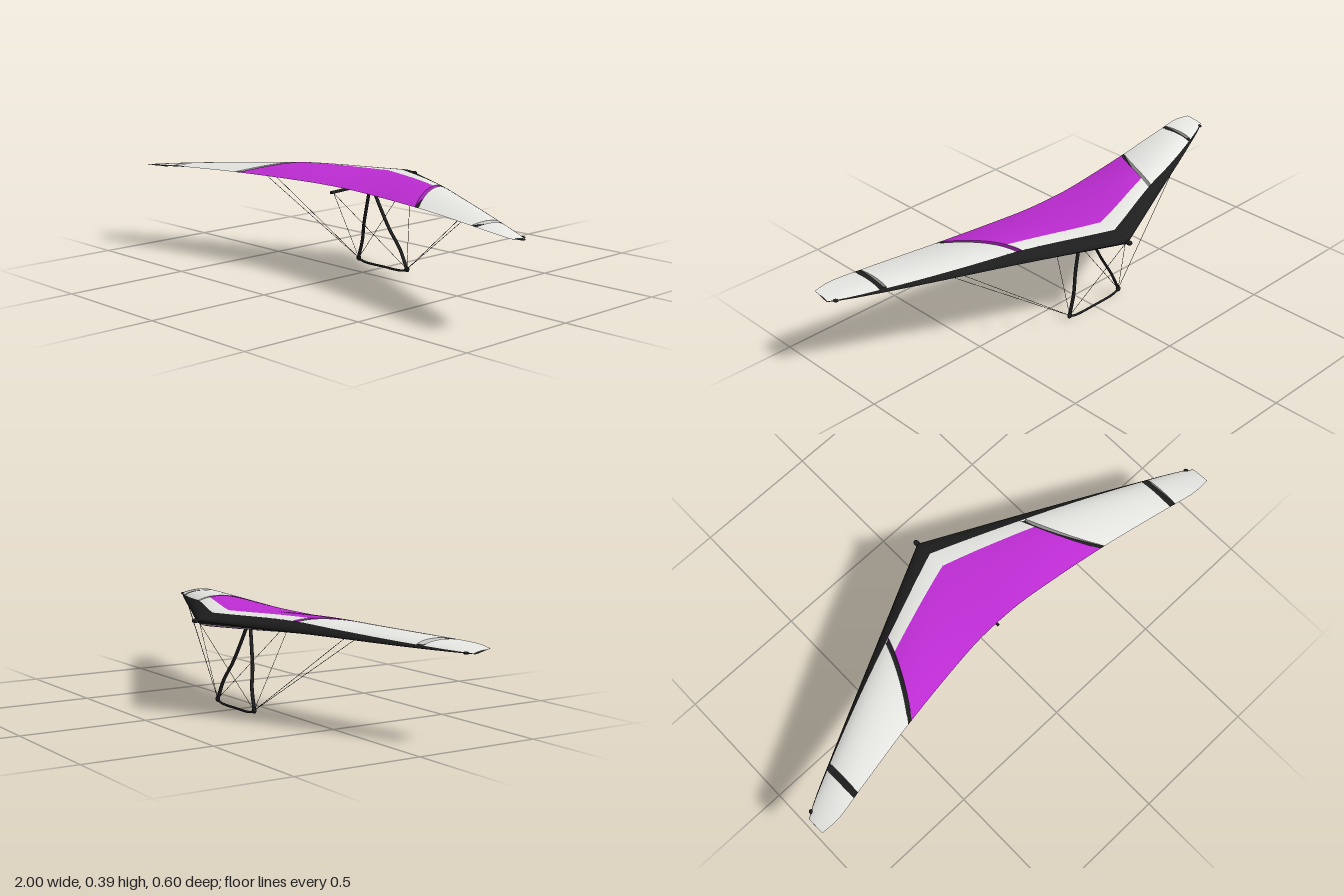
import * as THREE from 'three';

const mat = (name, color) => {
  const m = new THREE.MeshStandardMaterial({ color, side: THREE.DoubleSide });
  m.name = name;
  return m;
};

// Smooth curve through a few (span, value) samples
function curve(xs, ys) {
  const c = new THREE.CubicInterpolant(xs, ys, 1);
  return x => c.evaluate(Math.min(1, Math.max(0, x)))[0];
}

// Wing shape along the half span: edge positions, heights and camber
const leadZ = curve([0, 0.35, 0.8, 0.96, 1], [-0.28, -0.108, 0.113, 0.196, 0.222]);
const trailZ = curve([0, 0.1, 0.25, 0.5, 0.8, 0.93, 1], [0.159, 0.162, 0.179, 0.217, 0.275, 0.299, 0.296]);
const leadY = curve([0, 0.35, 0.8, 1], [0.357, 0.347, 0.331, 0.326]);
const trailY = curve([0, 0.5, 0.8, 0.94, 1], [0.362, 0.359, 0.352, 0.346, 0.339]);
const rise = curve([0, 0.35, 0.5, 0.8, 1], [0.028, 0.039, 0.033, 0.018, 0.003]);
const sag = curve([0, 0.2, 0.4, 0.8, 1], [0.029, 0.02, 0.009, 0.006, 0.003]);

// Point on the sail; level 1 is the upper skin, 0 the lower skin
function sailPoint(x, t, level) {
  const base = THREE.MathUtils.lerp(leadY(x), trailY(x), t);
  const upper = rise(x) * 2.598 * Math.sqrt(t) * (1 - t);
  const lower = -sag(x) * 6.53 * t ** 0.75 * (1 - t) ** 3;
  return [x, base + THREE.MathUtils.lerp(lower, upper, level), THREE.MathUtils.lerp(leadZ(x), trailZ(x), t)];
}

// Panel borders: x as a function of chord fraction, chord fraction as a function of x
const at = v => () => v;
const seam = t => 0.33 + 0.16 * t ** 1.3;
const seamOuter = t => seam(t) + 0.02;
const bandTop = curve([0, 0.35, 0.5, 0.8, 1], [0.16, 0.13, 0.1, 0.05, 0.03]);
const bandUnder = x => bandTop(x) * 0.2;
const panelFront = x => 0.32 - 0.06 * x;
const underFront = x => 0.055 + 0.06 * x;

// Skin levels: the stripes lie in deep grooves between the panels
const upperSkin = at(1), lowerSkin = at(0);
const groove = t => 1 - 0.65 * THREE.MathUtils.smoothstep(t, 0.05, 0.2);

// One sail panel between two span borders, two chord borders and two levels
function panel(s, la, lb, xa, xb, ta, tb, nu = 24, nv = 20) {
  const pos = [], idx = [];
  for (let j = 0; j <= nv; j++) {
    for (let i = 0; i <= nu; i++) {
      const u = i / nu, v = j / nv;
      let t = v, x = 0;
      for (let k = 0; k < 6; k++) {
        x = THREE.MathUtils.lerp(xa(t), xb(t), u);
        t = THREE.MathUtils.lerp(ta(x), tb(x), v);
      }
      const p = sailPoint(x, t, THREE.MathUtils.lerp(la(t), lb(t), u));
      pos.push(s * p[0], p[1], p[2]);
    }
  }
  const flip = (s > 0) === (la === lowerSkin);
  for (let j = 0; j < nv; j++) {
    for (let i = 0; i < nu; i++) {
      const a = j * (nu + 1) + i, b = a + 1, c = a + nu + 1, d = c + 1;
      if (flip) idx.push(a, b, c, b, d, c);
      else idx.push(a, c, b, b, c, d);
    }
  }
  const g = new THREE.BufferGeometry();
  g.setAttribute('position', new THREE.Float32BufferAttribute(pos, 3));
  g.setIndex(idx);
  g.computeVertexNormals();
  return g;
}

export function createModel() {
  const root = new THREE.Group();
  root.name = 'hangGlider';
  const white = mat('sailWhite', 0xf0f0ec);
  const purple = mat('sailPurple', 0xbe2cd4);
  const black = mat('black', 0x1e1e1e);

  const add = (name, geo, material, parent = root) => {
    const m = new THREE.Mesh(geo, material);
    m.name = name;
    parent.add(m);
    return m;
  };
  const V = (x, y, z) => new THREE.Vector3(x, y, z);
  const rod = (name, a, b, r, sides, parent) => {
    const m = add(name, new THREE.CylinderGeometry(r, r, a.distanceTo(b), sides), black, parent);
    m.position.copy(a).lerp(b, 0.5);
    m.quaternion.setFromUnitVectors(V(0, 1, 0), b.clone().sub(a).normalize());
  };
  const ball = (name, p, sx, sy, sz, parent) => {
    const m = add(name, new THREE.SphereGeometry(1, 16, 10), black, parent);
    m.position.copy(p);
    m.scale.set(sx, sy, sz);
  };

  for (const s of [1, -1]) {
    const half = new THREE.Group();
    half.name = s > 0 ? 'leftHalf' : 'rightHalf';
    root.add(half);

    // Upper sail: name, colour, inner, outer, front, back
    const upper = [
      ['leadingBand', black, at(0), at(1), at(0), bandTop],
      ['centreFront', white, at(0), seam, bandTop, panelFront],
      ['centrePanel', purple, at(0), seam, panelFront, at(1)],
      ['outerPanel', white, seamOuter, at(0.81), bandTop, at(1)],
      ['tipPanel', white, at(0.835), at(1), bandTop, at(1)],
    ];
    for (const [name, m, ...borders] of upper) add(name, panel(s, upperSkin, upperSkin, ...borders), m, half);

    // Lower sail
    const lower = [
      ['underBand', black, at(0), at(1), at(0), bandUnder],
      ['underFront', white, at(0), seam, bandUnder, underFront],
      ['underCentre', purple, at(0), seam, underFront, at(1)],
      ['underOuter', white, seam, at(0.83), bandUnder, at(1)],
      ['underTip', black, at(0.83), at(1), bandUnder, at(1)],
    ];
    for (const [name, m, ...borders] of lower) add(name, panel(s, lowerSkin, lowerSkin, ...borders), m, half);

    // Sunken stripes with the sail's edges as groove walls
    const stripes = [['seamStripe', seam, seamOuter, purple], ['tipStripe', at(0.81), at(0.835), white]];
    for (const [name, inner, outer, innerColour] of stripes) {
      add(name, panel(s, groove, groove, inner, outer, bandTop, at(1), 4), black, half);
      add(name + 'InnerWall', panel(s, upperSkin, groove, inner, inner, bandTop, at(1), 1), innerColour, half);
      add(name + 'OuterWall', panel(s, groove, upperSkin, outer, outer, bandTop, at(1), 1), white, half);
    }

    // End of the leading edge tube
    ball('tipCap', V(s * 0.975, 0.327, 0.21), 0.01, 0.005, 0.012, half);

    // Curved upright, wider along z
    const path = new THREE.CatmullRomCurve3([
      V(0, 0.35, 0), V(s * 0.035, 0.26, -0.015), V(s * 0.072, 0.17, -0.033),
      V(s * 0.105, 0.095, -0.056), V(s * 0.135, 0.02, -0.064)]);
    const upright = new THREE.TubeGeometry(path, 32, 0.0045, 10);
    const p = upright.attributes.position;
    for (let i = 0; i <= 32; i++) {
      const c = path.getPointAt(i / 32);
      for (let j = 0; j <= 10; j++) {
        const k = i * 11 + j;
        p.setZ(k, c.z + (p.getZ(k) - c.z) * 1.8);
      }
    }
    upright.computeVertexNormals();
    add('upright', upright, black, half).position.z = -0.044;

    // Corner fitting and rigging wires
    const corner = V(s * 0.135, 0.018, -0.109);
    ball('cornerFitting', corner, 0.011, 0.012, 0.008, half);
    const ends = [V(0, 0.345, -0.265), V(0, 0.333, 0.15), V(s * 0.6, 0.34, 0.02), V(s * 0.565, 0.341, 0)];
    for (const e of ends) rod('wire', corner, e, 0.0009, 6, half);
  }

  // Base bar, keel and nose
  const bar = new THREE.CatmullRomCurve3([
    V(-0.135, 0.016, -0.109), V(-0.105, 0.007, -0.11), V(0, 0.005, -0.111),
    V(0.105, 0.007, -0.11), V(0.135, 0.016, -0.109)]);
  add('baseBar', new THREE.TubeGeometry(bar, 32, 0.0045, 10), black);
  rod('keel', V(0, 0.356, -0.28), V(0, 0.337, 0.165), 0.006, 12);
  ball('noseCap', V(0, 0.357, -0.283), 0.011, 0.009, 0.015);
  ball('apexFitting', V(0, 0.344, -0.044), 0.009, 0.009, 0.01);
  return root;
}
